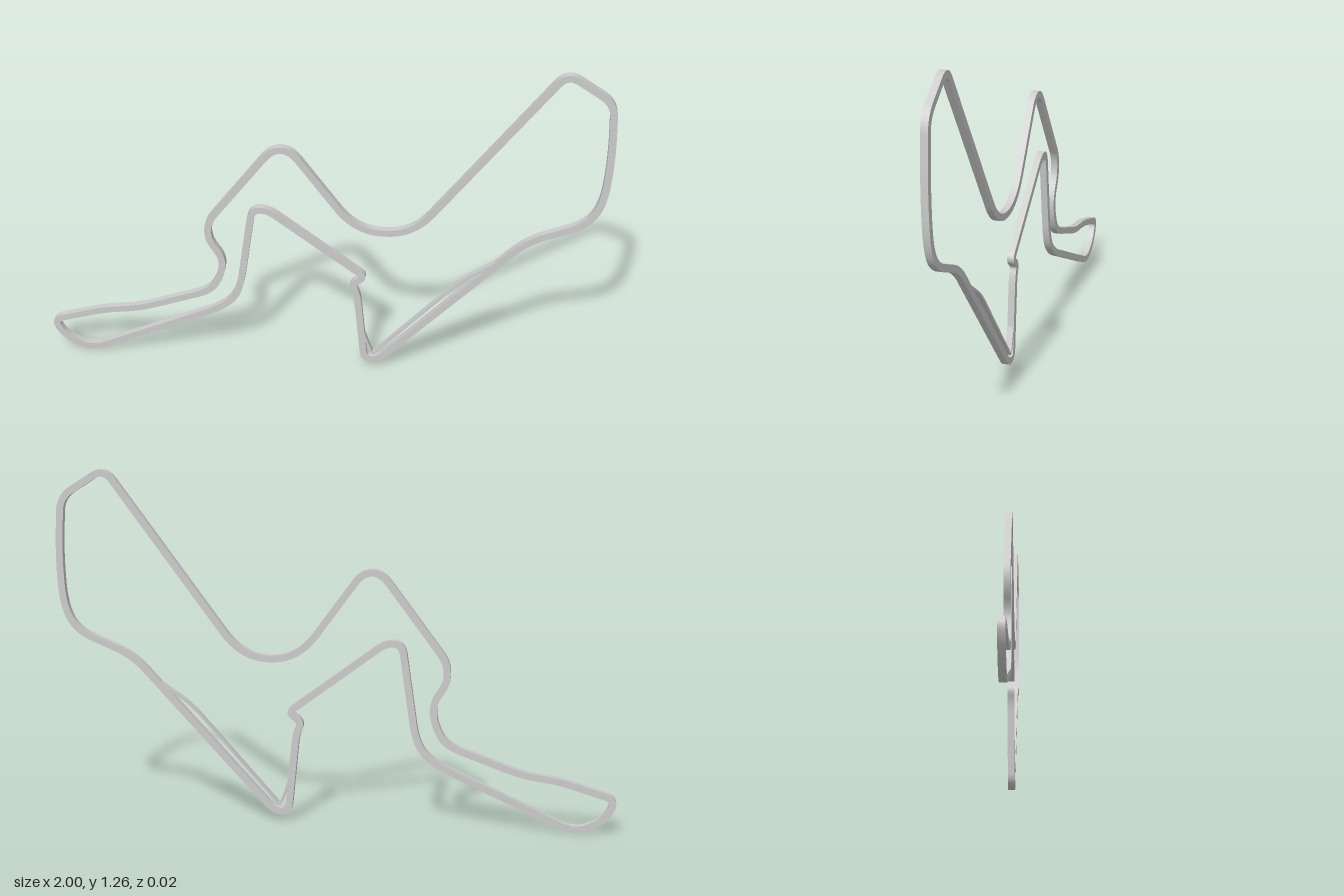
import * as THREE from 'three';

// Corner points: x, y, length of the rounding along each leg
const CIRCUIT = [
  [-1.0, 0.128, 0.04], [-0.795, 0.19, 0.06], [-0.67, 0.205, 0.06], [-0.395, 0.305, 0.06],
  [-0.355, 0.385, 0.04], [-0.35, 0.455, 0.04], [-0.4, 0.53, 0.04], [-0.398, 0.605, 0.04],
  [-0.165, 0.918, 0.05], [-0.1, 0.918, 0.05], [0.13, 0.6, 0.11], [0.33, 0.6, 0.11],
  [0.815, 1.265, 0.05], [0.975, 1.162, 0.05], [0.988, 0.95, 0.1], [0.978, 0.77, 0.08],
  [0.93, 0.68, 0.07], [0.73, 0.597, 0.07], [0.22, 0.035, 0.04], [0.167, 0.035, 0.03],
  [0.138, 0.325, 0.04], [0.118, 0.37, 0.025], [0.165, 0.405, 0.025], [-0.185, 0.67, 0.04],
  [-0.24, 0.665, 0.04], [-0.293, 0.3, 0.08], [-0.36, 0.232, 0.06], [-0.86, 0.002, 0.06],
  [-0.96, 0.05, 0.05],
];
const SIDE_LANE = [
  [0.153, 0.18, 0], [0.198, 0.055, 0.015], [0.52, 0.423, 0.06], [0.645, 0.508, 0],
];

// Polyline with every corner rounded by a quadratic curve
function roundedPath(corners, closed) {
  const n = corners.length, pts = [];
  const at = (i) => new THREE.Vector2(...corners[(i + n) % n].slice(0, 2));
  for (let i = 0; i < n; i++) {
    const c = at(i);
    if (!closed && (i === 0 || i === n - 1)) { pts.push(c); continue; }
    const leg = (p) => {
      const d = p.sub(c), len = d.length();
      return c.clone().addScaledVector(d, Math.min(corners[i][2], len * 0.48) / len);
    };
    const curve = new THREE.QuadraticBezierCurve(leg(at(i - 1)), c, leg(at(i + 1)));
    pts.push(...curve.getPoints(10));
  }
  return pts;
}

// Sweep a rectangle along the path; each of its four sides is a separate smooth strip
function sweepBand(pts, halfWidth, halfDepth, closed) {
  const n = pts.length, pos = [], index = [];
  const section = [[1, 1], [-1, 1], [-1, -1], [1, -1]];
  const normals = pts.map((p, i) => {
    const a = pts[closed ? (i - 1 + n) % n : Math.max(i - 1, 0)];
    const b = pts[closed ? (i + 1) % n : Math.min(i + 1, n - 1)];
    const inDir = p.clone().sub(a).normalize(), outDir = b.clone().sub(p).normalize();
    const t = inDir.add(outDir).normalize();
    return new THREE.Vector2(-t.y, t.x);
  });
  for (let s = 0; s < 4; s++) {
    const base = pos.length / 3;
    for (let i = 0; i < n; i++) {
      for (const [u, v] of [section[s], section[(s + 1) % 4]]) {
        pos.push(pts[i].x + normals[i].x * u * halfWidth,
          pts[i].y + normals[i].y * u * halfWidth, v * halfDepth);
      }
    }
    for (let i = 0; i < (closed ? n : n - 1); i++) {
      const a = base + 2 * i, b = a + 1, c = base + 2 * ((i + 1) % n), d = c + 1;
      index.push(a, b, c, b, d, c);
    }
  }
  const geo = new THREE.BufferGeometry();
  geo.setAttribute('position', new THREE.Float32BufferAttribute(pos, 3));
  geo.setIndex(index);
  geo.computeVertexNormals();
  return geo;
}

export function createModel() {
  const group = new THREE.Group();
  group.name = 'circuitOutline';
  const material = new THREE.MeshStandardMaterial({ color: 0xcccccc });
  const add = (name, geo) => {
    const mesh = new THREE.Mesh(geo, material);
    mesh.name = name;
    group.add(mesh);
  };

  // Main closed loop
  add('mainTrack', sweepBand(roundedPath(CIRCUIT, true), 0.0125, 0.012, true));
  // Narrow lane beside the long straight, its ends sunk into the main loop
  add('sideLane', sweepBand(roundedPath(SIDE_LANE, false), 0.004, 0.0118, false));
  return group;
}
